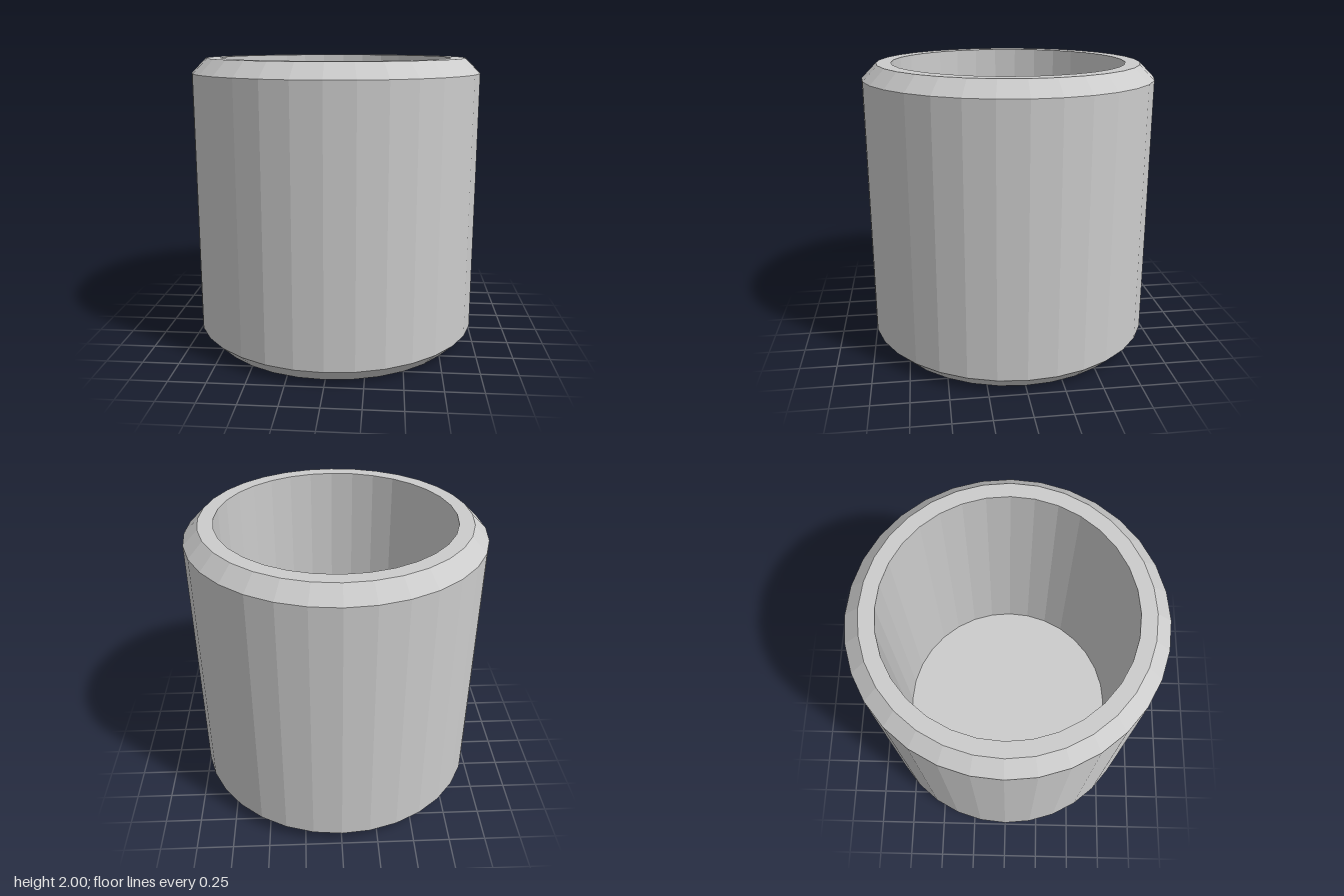
import * as THREE from 'three';

export function createModel() {
  const group = new THREE.Group();
  group.name = 'cup';
  const material = new THREE.MeshStandardMaterial({ color: 0xcccccc, flatShading: true });

  // Closed wall profile: base, chamfer, outer wall, chamfer, rim, inner wall, floor
  const profile = [
    [0, 0], [0.9, 0], [1, 0.1], [1, 1.9], [0.9, 2],
    [0.8, 2], [0.8, 0.2], [0, 0.2],
  ].map(([r, y]) => new THREE.Vector2(r, y));

  const body = new THREE.Mesh(new THREE.LatheGeometry(profile, 32), material);
  body.name = 'cupBody';
  group.add(body);
  return group;
}
